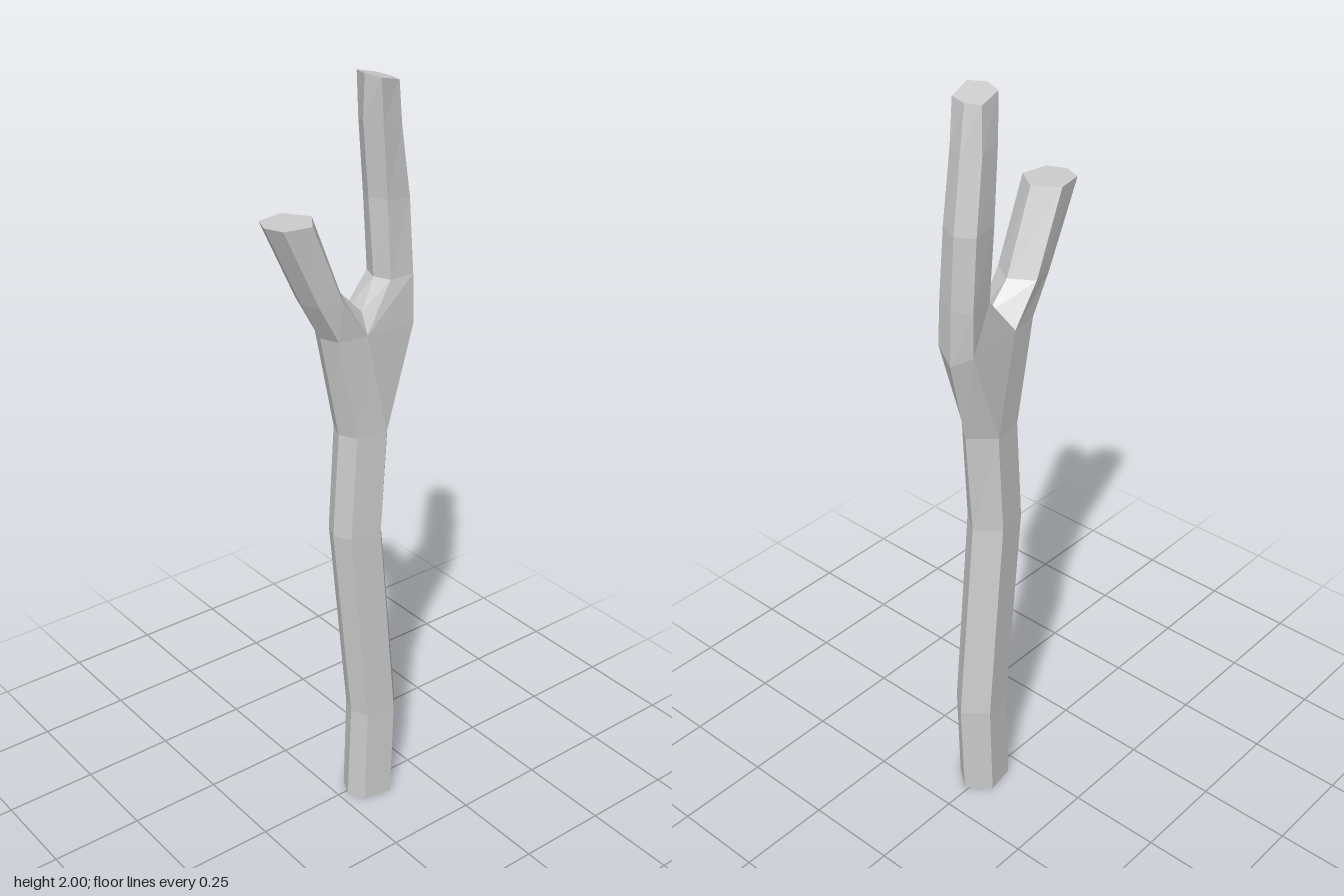
import * as THREE from 'three';

// Six-sided section: z of front tip, front sides, back sides and back tip
const section = (y, zs, { x = 0.01, front = 0.047, back = 0.06, tilt = 0, twist = 0 } = {}) => {
  const [tip, fs, bs, heel] = zs;
  const mid = (tip + heel) / 2;
  return [
    [x, tip], [x + front, fs], [x + back, bs],
    [x, heel], [x - back, bs], [x - front, fs],
  ].map(([px, pz]) => new THREE.Vector3(px + twist * (pz - mid), y + tilt * (pz - mid), pz));
};

// Flat-shaded mesh from a list of triangles
function facetMesh(name, triangles) {
  const geometry = new THREE.BufferGeometry().setFromPoints(triangles.flat());
  geometry.computeVertexNormals();
  const mesh = new THREE.Mesh(geometry, new THREE.MeshStandardMaterial({ color: 0xcccccc, flatShading: true }));
  mesh.name = name;
  return mesh;
}

const quad = (a, b, c, d) => [[a, b, c], [a, c, d]];

// Side walls between consecutive rings
function walls(rings) {
  const out = [];
  for (let r = 0; r < rings.length - 1; r++) {
    for (let i = 0; i < 6; i++) {
      const j = (i + 1) % 6;
      out.push(...quad(rings[r][i], rings[r][j], rings[r + 1][j], rings[r + 1][i]));
    }
  }
  return out;
}

// End cap as a fan, facing up or down
function cap(ring, up) {
  const out = [];
  for (let i = 1; i < 5; i++) out.push(up ? [ring[0], ring[i], ring[i + 1]] : [ring[0], ring[i + 1], ring[i]]);
  return out;
}

export function createModel() {
  const group = new THREE.Group();
  group.name = 'forkedBranch';

  // Trunk, gently bent
  const trunk = [
    section(0, [-0.025, -0.047, -0.127, -0.175]),
    section(0.28, [-0.035, -0.055, -0.135, -0.185]),
    section(0.85, [0.025, 0.003, -0.08, -0.127]),
    section(1.13, [0.008, -0.013, -0.095, -0.148]),
  ];
  group.add(facetMesh('trunk', [...cap(trunk[0], false), ...walls(trunk)]));

  // Fork: both branch roots share the crotch points left, saddle and right
  const [r0, r1, r2, r3, r4, r5] = trunk[3];
  const left = new THREE.Vector3(0.066, 1.4, -0.035);
  const right = new THREE.Vector3(-0.05, 1.4, -0.035);
  const saddle = new THREE.Vector3(0.01, 1.435, -0.062);
  const f = section(1.4, [0.063, 0.043, 0, 0]);
  const frontRoot = [f[0], f[1], left, saddle, right, f[5]];
  const b2 = new THREE.Vector3(0.05, 1.39, -0.19);
  const b3 = new THREE.Vector3(-0.005, 1.36, -0.21);
  const b4 = new THREE.Vector3(-0.055, 1.39, -0.185);
  const rearRoot = [saddle, left, b2, b3, b4, right];
  group.add(facetMesh('fork', [
    ...quad(r5, r0, f[0], f[5]), ...quad(r0, r1, f[1], f[0]),
    ...quad(r2, r3, b3, b2), ...quad(r3, r4, b4, b3),
    [r1, r2, left], [r1, left, f[1]], [r2, b2, left],
    [r4, r5, right], [r5, f[5], right], [r4, right, b4],
  ]));

  // Short front branch
  const frontRings = [
    frontRoot,
    section(1.5, [0.118, 0.1, 0.04, 0.003]),
    section(1.705, [0.217, 0.198, 0.127, 0.085]),
  ];
  group.add(facetMesh('frontBranch', [...walls(frontRings), ...cap(frontRings[2], true)]));

  // Tall rear branch, curving back toward the front at its top
  const rearRings = [
    rearRoot,
    section(1.51, [-0.108, -0.125, -0.195, -0.215], { x: -0.01, front: 0.045, back: 0.052, twist: 0.1 }),
    section(1.7, [-0.098, -0.12, -0.19, -0.212], { x: -0.02, front: 0.046, back: 0.05, tilt: 0.1, twist: 0.1 }),
    section(1.88, [-0.075, -0.1, -0.16, -0.183], { x: -0.014, front: 0.046, back: 0.047, tilt: 0.2, twist: 0.13 }),
    section(1.989, [-0.073, -0.088, -0.148, -0.158], { x: -0.007, front: 0.045, back: 0.043, tilt: 0.25, twist: 0.15 }),
  ];
  group.add(facetMesh('rearBranch', [...walls(rearRings), ...cap(rearRings[4], true)]));

  return group;
}
